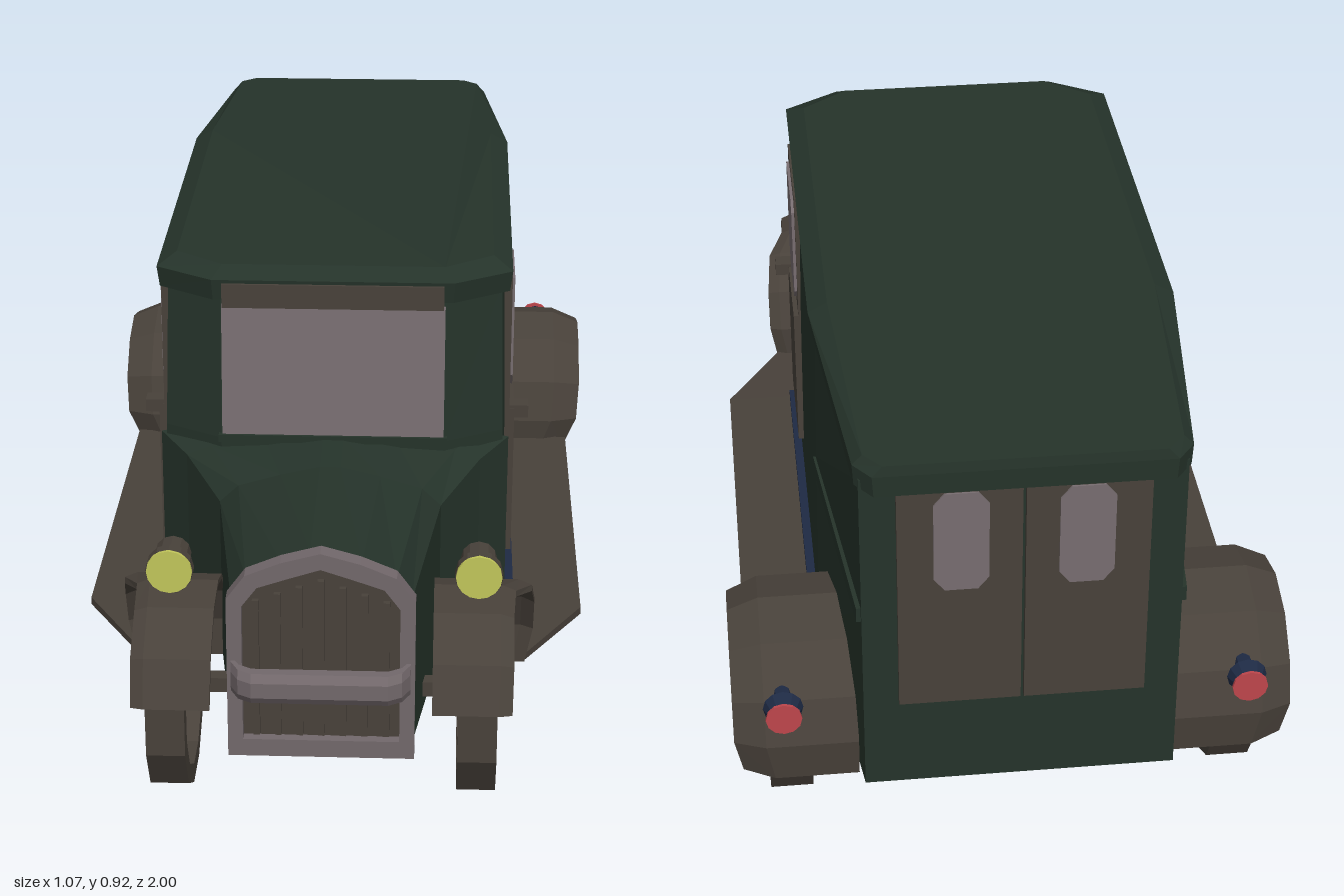
import * as THREE from 'three';

const mat = (name, color) => {
  const m = new THREE.MeshStandardMaterial({ color, flatShading: true, side: THREE.DoubleSide });
  m.name = name;
  return m;
};

export function createModel() {
  const green = mat('dark green', 0x25332a), brown = mat('dark brown', 0x48413a);
  const grey = mat('grey metal', 0x72686b), glass = mat('glass grey', 0x776d70);
  const yellow = mat('lamp yellow', 0xc2c65a), red = mat('lamp red', 0xbe464c);
  const navy = mat('navy', 0x1e2a44);
  const root = new THREE.Group();
  root.name = 'van';

  const add = (name, geo, m, x = 0, y = 0, z = 0, parent = root) => {
    const mesh = new THREE.Mesh(geo, m);
    mesh.name = name;
    mesh.position.set(x, y, z);
    parent.add(mesh);
    return mesh;
  };
  // box given by its limits
  const box = (name, m, x0, x1, y0, y1, z0, z1, parent) =>
    add(name, new THREE.BoxGeometry(Math.abs(x1 - x0), y1 - y0, z1 - z0), m,
      (x0 + x1) / 2, (y0 + y1) / 2, (z0 + z1) / 2, parent);

  // skin over matching rings of points, capped at both ends, faces turned outwards
  const loft = (rings) => {
    const n = rings[0].length, tris = [];
    for (let i = 0; i + 1 < rings.length; i++) {
      for (let j = 0; j < n; j++) {
        const k = (j + 1) % n, a = rings[i][j], b = rings[i][k], c = rings[i + 1][k], d = rings[i + 1][j];
        tris.push([a, b, c], [a, c, d]);
      }
    }
    const first = rings[0], last = rings[rings.length - 1];
    for (let j = 1; j + 1 < n; j++) {
      tris.push([first[0], first[j + 1], first[j]], [last[0], last[j], last[j + 1]]);
    }
    const v = (p) => new THREE.Vector3(...p);
    const volume = tris.reduce((s, [a, b, c]) => s + v(a).dot(v(b).cross(v(c))), 0);
    if (volume < 0) tris.forEach((t) => t.reverse());
    const g = new THREE.BufferGeometry();
    g.setAttribute('position', new THREE.Float32BufferAttribute(tris.flat(2), 3));
    g.computeVertexNormals();
    return g;
  };
  // half outline, front to back, mirrored into a full loop
  const mirror = (half) => [...half, ...half.slice().reverse().map(([x, ...r]) => [-x, ...r])];
  const rect = (x0, x1, y0, y1, z) => [[x0, y0, z], [x1, y0, z], [x1, y1, z], [x0, y1, z]];

  // cabin and cargo body
  const bodyRing = (y, w, dz, drop = 0) => mirror([
    [0.22, y, 0.445 - dz], [w - 0.01, y, 0.38 - dz], [w, y, 0.2],
    [w, y, -0.48], [0.293, y - drop, -0.975]]);
  add('body', loft([bodyRing(0.16, 0.35, 0), bodyRing(0.57, 0.345, 0), bodyRing(0.87, 0.338, 0.028, 0.015)]), green);

  // roof with rim, chamfered crown and falling rear
  const roofRing = (y, i) => mirror([
    [0.235 - i / 2, y, 0.443 - i], [0.348 - i, y, 0.37 - i], [0.35 - i, y, -0.48],
    [0.302 - i / 2, y - 0.022, -0.96], [0.27 - i / 2, y - 0.024, -1 + i / 10]]);
  add('roof', loft([roofRing(0.858, 0.005), roofRing(0.9, 0), roofRing(0.92, 0.037)]), green);

  // bonnet and cowl
  const hoodRing = (z, w, ys, yt) => mirror([
    [w, 0.15, z], [w, ys, z], [w * 0.83, ys + (yt - ys) * 0.45, z], [w * 0.45, yt - 0.018, z], [0.02, yt, z]]);
  add('bonnet', loft([hoodRing(0.91, 0.166, 0.46, 0.553), hoodRing(0.56, 0.215, 0.485, 0.562),
    hoodRing(0.44, 0.29, 0.53, 0.574), hoodRing(0.37, 0.347, 0.55, 0.576)]), green);

  // radiator shell, grille and slats
  const arch = (P, w, y0, ys, yt) => {
    const p = new P();
    p.moveTo(-w, y0);
    [[w, y0], [w, ys], [w * 0.8, ys + (yt - ys) * 0.5], [w * 0.42, yt - 0.02], [0, yt],
      [-w * 0.42, yt - 0.02], [-w * 0.8, ys + (yt - ys) * 0.5], [-w, ys]].forEach((q) => p.lineTo(...q));
    p.closePath();
    return p;
  };
  const shell = arch(THREE.Shape, 0.173, 0.14, 0.465, 0.56);
  shell.holes.push(arch(THREE.Path, 0.145, 0.175, 0.45, 0.528));
  add('radiatorShell', new THREE.ExtrudeGeometry(shell, { depth: 0.035, bevelEnabled: false }), grey, 0, 0, 0.9);
  add('grille', new THREE.ExtrudeGeometry(arch(THREE.Shape, 0.15, 0.165, 0.45, 0.53), { depth: 0.01, bevelEnabled: false }), brown, 0, 0, 0.905);
  for (let i = -3; i <= 3; i++) {
    box('grilleSlat', brown, i * 0.04 - 0.006, i * 0.04 + 0.006, 0.18, 0.5 - Math.abs(i) * 0.014, 0.912, 0.926);
  }

  // front bumper, bent back at both ends
  const bar = (x, z0, z1) => [[x, 0.28, z0], [x, 0.28, z1 - 0.01], [x, 0.295, z1], [x, 0.325, z1], [x, 0.34, z1 - 0.01], [x, 0.34, z0]];
  add('bumper', loft([bar(-0.165, 0.92, 0.95), bar(-0.15, 0.95, 0.98), bar(-0.125, 0.965, 0.995),
    bar(0.125, 0.965, 0.995), bar(0.15, 0.95, 0.98), bar(0.165, 0.92, 0.95)]), grey);

  // windscreen and header strip
  const screenTilt = -Math.atan(0.028 / 0.3);
  add('windscreen', new THREE.BoxGeometry(0.436, 0.268, 0.008), glass, 0, 0.71, 0.433).rotation.x = screenTilt;
  box('windscreenHeader', brown, -0.215, 0.215, 0.845, 0.893, 0.42, 0.448);
  box('windscreenSill', green, -0.225, 0.225, 0.565, 0.58, 0.43, 0.455);

  // wheel: faceted rim, hub and spokes, axis along x
  const rimShape = new THREE.Shape(), rimHole = new THREE.Path();
  for (let i = 0; i < 12; i++) {
    const a = (i + 0.5) * Math.PI / 6, c = Math.cos(a), s = Math.sin(a);
    rimShape[i ? 'lineTo' : 'moveTo'](c * 0.2, s * 0.2);
    rimHole[i ? 'lineTo' : 'moveTo'](c * 0.163, s * 0.163);
  }
  rimShape.closePath();
  rimHole.closePath();
  rimShape.holes.push(rimHole);
  const wheel = (name, x, z, width) => {
    const g = new THREE.Group();
    g.name = name;
    g.position.set(x, 0.194, z);
    root.add(g);
    const rim = new THREE.ExtrudeGeometry(rimShape, { depth: width, bevelEnabled: false });
    rim.translate(0, 0, -width / 2).rotateY(Math.PI / 2);
    add('rim', rim, brown, 0, 0, 0, g);
    add('hub', new THREE.CylinderGeometry(0.03, 0.03, width * 0.8, 10).rotateZ(Math.PI / 2), brown, 0, 0, 0, g);
    for (let i = 0; i < 12; i++) {
      const spoke = new THREE.CylinderGeometry(0.005, 0.009, 0.15, 4).translate(0, 0.092, 0);
      add('spoke', spoke, brown, 0, 0, 0, g).rotation.x = i * Math.PI / 6;
    }
  };

  // fender: thin arched shell, edge dropping at the outer side
  const fender = (name, s, cz, x0, edges, r, bevel, drop) => {
    const rings = edges.map(([deg, x1]) => {
      const a = deg * Math.PI / 180;
      return [[x0, r - 0.01], [x1 - bevel, r - 0.01], [x1, r - drop - 0.012], [x1, r - drop], [x1 - bevel, r], [x0, r]]
        .map(([x, q]) => [s * x, 0.194 + q * Math.sin(a), cz + q * Math.cos(a)]);
    });
    add(name, loft(rings), brown);
  };

  for (const s of [1, -1]) {
    wheel('frontWheel', s * 0.289, 0.754, 0.073);
    wheel('rearWheel', s * 0.428, -0.706, 0.082);
    box('frontAxle', brown, s * 0.15, s * 0.27, 0.18, 0.21, 0.74, 0.77);
    box('rearAxle', brown, s * 0.25, s * 0.41, 0.18, 0.21, -0.72, -0.69);

    fender('frontFender', s, 0.754, 0.205, [[14, 0.353], [40, 0.355], [70, 0.355], [97, 0.36],
      [118, 0.392], [145, 0.4], [170, 0.4], [193, 0.385]], 0.207, 0.025, 0.01);
    fender('rearFender', s, -0.706, 0.3, [[-18, 0.5], [5, 0.53], [30, 0.535], [60, 0.535], [90, 0.535],
      [120, 0.535], [150, 0.535], [175, 0.535], [198, 0.52]], 0.213, 0.06, 0.025);

    // running board and sill
    add('runningBoard', loft([rect(s * 0.215, s * 0.385, 0.148, 0.162, 0.56), rect(s * 0.34, s * 0.505, 0.15, 0.166, 0.36),
      rect(s * 0.34, s * 0.505, 0.15, 0.166, -0.4), rect(s * 0.34, s * 0.505, 0.14, 0.166, -0.51)]), brown);
    box('sill', navy, s * 0.33, s * 0.367, 0.16, 0.185, -0.46, 0.355);

    // cab door with window and handle
    box('doorFrame', brown, s * 0.33, s * 0.35, 0.57, 0.858, 0.043, 0.289);
    add('doorPanel', loft([rect(s * 0.33, s * 0.36, 0.26, 0.575, 0.289), rect(s * 0.33, s * 0.36, 0.26, 0.575, 0.043)]), brown);
    const win = new THREE.Shape();
    win.moveTo(-0.095, 0.12).lineTo(-0.095, -0.09).lineTo(-0.065, -0.12).lineTo(0.065, -0.12)
      .lineTo(0.095, -0.09).lineTo(0.095, 0.1).lineTo(0.075, 0.12).closePath();
    const pane = new THREE.ExtrudeGeometry(win, { depth: 0.006, bevelEnabled: false });
    add('doorWindow', pane, glass, s * 0.353 - 0.003, 0.72, 0.148).rotation.y = Math.PI / 2;
    box('doorHandle', brown, s * 0.35, s * 0.388, 0.556, 0.582, 0.25, 0.287);

    // belt moulding on the tapering rear quarter
    add('beltMoulding', loft([rect(s * 0.33, s * 0.35, 0.54, 0.57, -0.48), rect(s * 0.28, s * 0.302, 0.54, 0.57, -0.97)]), green);

    // rear door leaf and window
    box('rearDoor', brown, s * 0.003, s * 0.228, 0.355, 0.85, -0.988, -0.96);
    const rearWin = new THREE.Shape();
    rearWin.moveTo(-0.05, -0.08).lineTo(-0.03, -0.105).lineTo(0.03, -0.105).lineTo(0.05, -0.08)
      .lineTo(0.05, 0.08).lineTo(0.03, 0.105).lineTo(-0.03, 0.105).lineTo(-0.05, 0.08).closePath();
    add('rearWindow', new THREE.ExtrudeGeometry(rearWin, { depth: 0.006, bevelEnabled: false }), glass, s * 0.113, 0.72, -0.992);

    // headlamp on a short stem
    const housing = [[0, -0.05], [0.022, -0.05], [0.034, -0.03], [0.034, 0.02], [0.045, 0.03], [0.045, 0.052]]
      .map((p) => new THREE.Vector2(...p));
    add('headlamp', new THREE.LatheGeometry(housing, 12).rotateX(Math.PI / 2), brown, s * 0.288, 0.46, 0.765);
    add('headlampLens', new THREE.CylinderGeometry(0.043, 0.043, 0.008, 16).rotateX(Math.PI / 2), yellow, s * 0.288, 0.46, 0.817);
    box('headlampStem', brown, s * 0.276, s * 0.3, 0.385, 0.44, 0.745, 0.775);

    // tail lamp
    add('tailLamp', new THREE.CylinderGeometry(0.024, 0.038, 0.03, 12).rotateX(-Math.PI / 2), navy, s * 0.44, 0.305, -0.929);
    add('tailLampMount', new THREE.CylinderGeometry(0.018, 0.018, 0.05, 8).rotateX(Math.PI / 2), navy, s * 0.44, 0.305, -0.895);
    add('tailLampLens', new THREE.CylinderGeometry(0.034, 0.034, 0.006, 12).rotateX(Math.PI / 2), red, s * 0.44, 0.305, -0.946);
  }
  return root;
}
